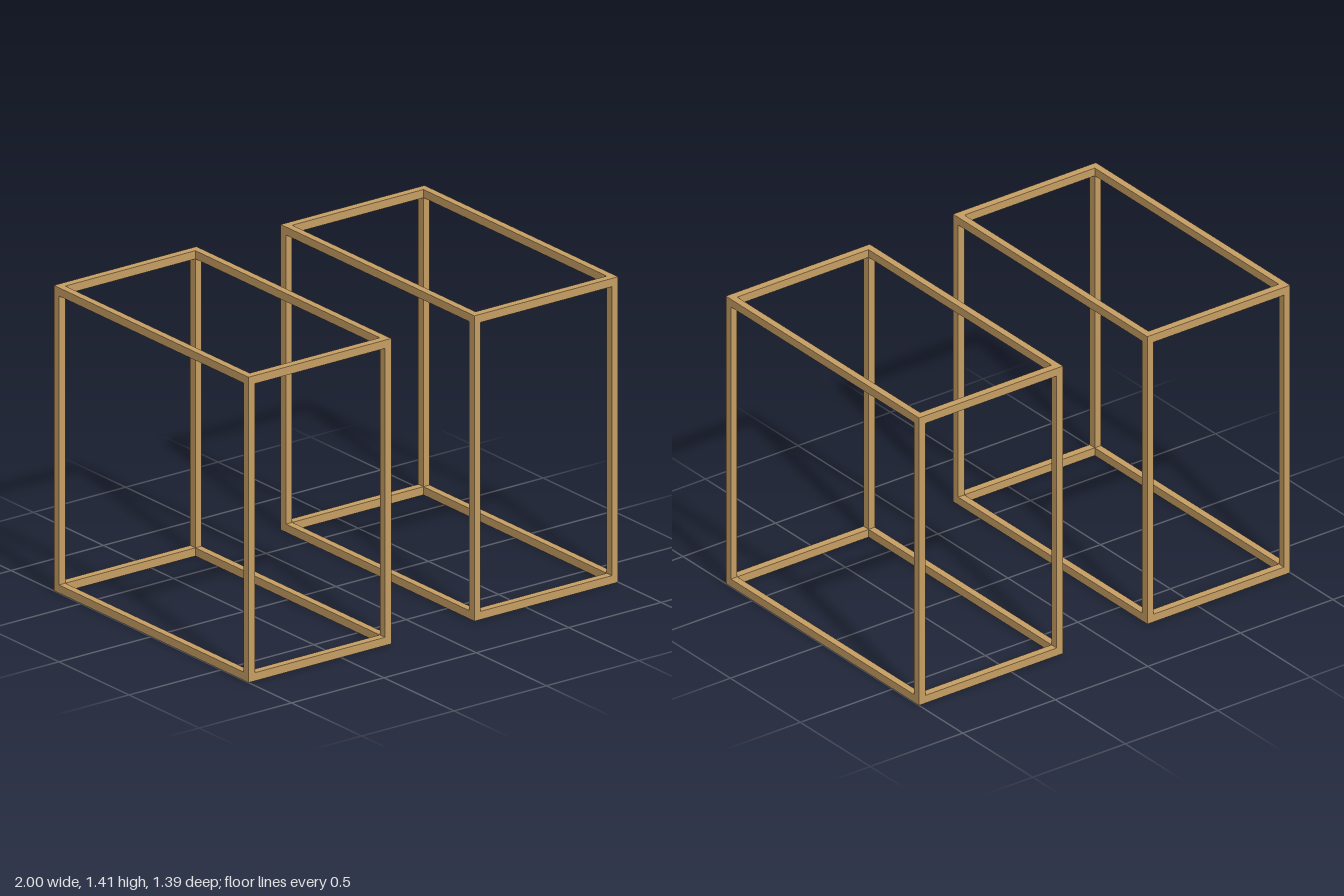
import * as THREE from 'three';

const wood = new THREE.MeshStandardMaterial({ color: 0xc8a064 });
wood.name = 'wood';

// Bar section along each axis
const TX = 0.034, TY = 0.038, TZ = 0.037;
const HEIGHT = 1.41;

function bar(parent, name, size, position) {
  const mesh = new THREE.Mesh(new THREE.BoxGeometry(...size), wood);
  mesh.name = name;
  mesh.position.set(...position);
  parent.add(mesh);
}

// Open box frame: four full-height posts with rails fitted between them
function boxFrame(name, x0, x1, z0, z1) {
  const frame = new THREE.Group();
  frame.name = name;
  const xs = [x0 + TX / 2, x1 - TX / 2];
  const ys = [TY / 2, HEIGHT - TY / 2];
  const zs = [z0 + TZ / 2, z1 - TZ / 2];
  const cx = (x0 + x1) / 2, cz = (z0 + z1) / 2;

  for (const x of xs)
    for (const z of zs) bar(frame, 'post', [TX, HEIGHT, TZ], [x, HEIGHT / 2, z]);

  for (const y of ys) {
    for (const z of zs) bar(frame, 'crossRail', [x1 - x0 - 2 * TX, TY, TZ], [cx, y, z]);
    for (const x of xs) bar(frame, 'sideRail', [TX, TY, z1 - z0 - 2 * TZ], [x, y, cz]);
  }
  return frame;
}

export function createModel() {
  const model = new THREE.Group();
  model.name = 'pairOfBoxFrames';
  // The right frame reaches slightly further back than the left one
  model.add(boxFrame('rightFrame', -1, -0.228, -0.695, 0.694));
  model.add(boxFrame('leftFrame', 0.222, 1, -0.687, 0.694));
  return model;
}
